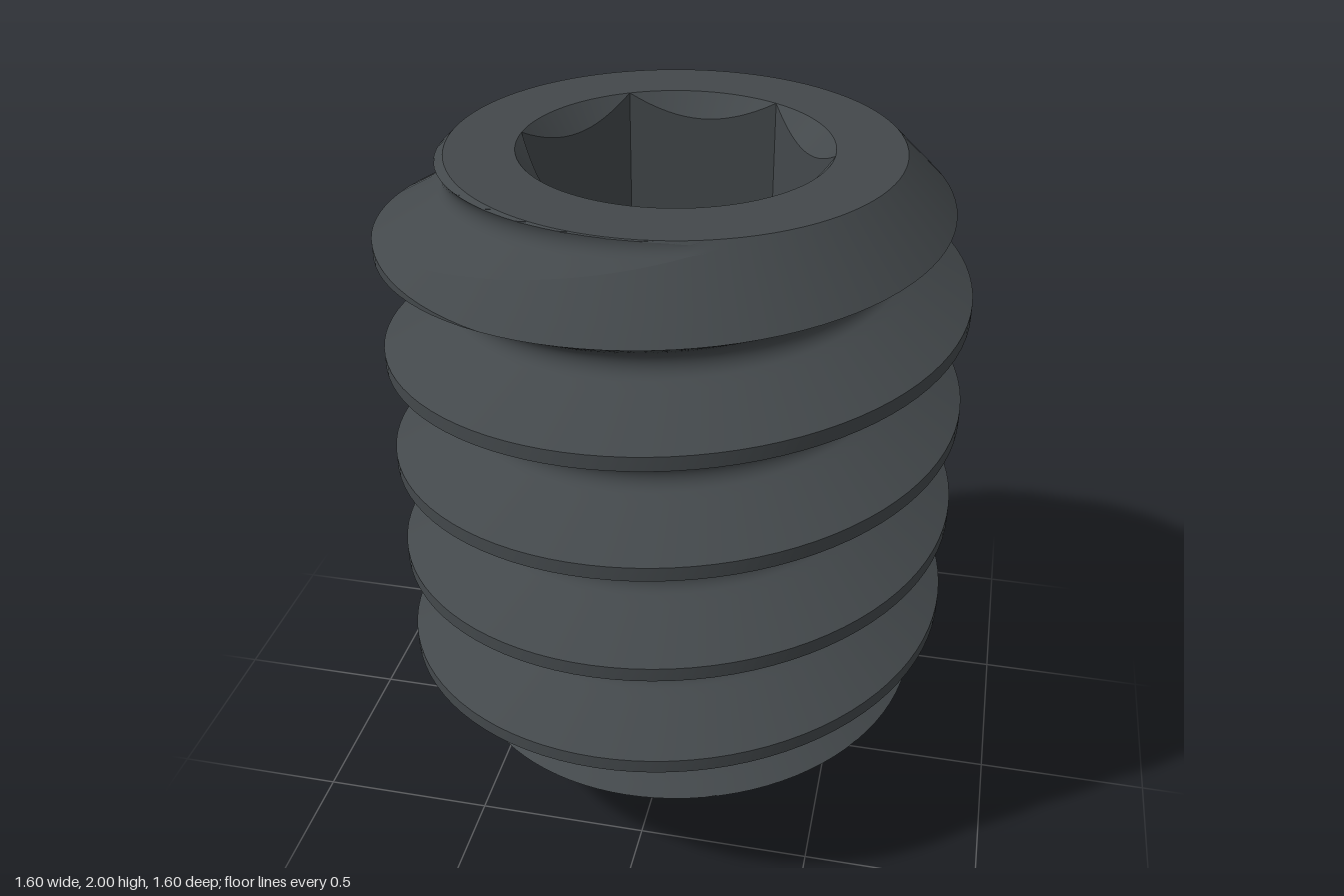
import * as THREE from 'three';
import { toCreasedNormals } from 'three/addons/utils/BufferGeometryUtils.js';

const COLUMNS = 96;
const HEIGHT = 2;
const PITCH = 0.32;
const CREST = 0.8;         // outer thread radius
const TOP_R = 0.6;         // flat top face radius
const TIP_R = 0.35;        // cup point radius
const FLAT = 0.36;         // hex socket, centre to flat
const CORNER = FLAT / Math.cos(Math.PI / 6);

// Surface from a profile of [radius, height] points that may vary with the angle.
// Profiles run so that the outside lies on their right.
function loft(name, profileAt, material) {
  const columns = [];
  for (let j = 0; j <= COLUMNS; j++) {
    const a = (j / COLUMNS) * Math.PI * 2;
    const c = j === COLUMNS ? 1 : Math.cos(a);
    const s = j === COLUMNS ? 0 : Math.sin(a);
    columns.push(profileAt(a).map(([r, y]) => new THREE.Vector3(r * c, y, -r * s)));
  }
  const points = [];
  const triangle = (p, q, r) => {
    const area = q.clone().sub(p).cross(r.clone().sub(p)).length();
    if (area > 1e-9) points.push(p, q, r);
  };
  for (let j = 0; j < COLUMNS; j++) {
    const A = columns[j], B = columns[j + 1];
    for (let i = 0; i < A.length - 1; i++) {
      triangle(A[i], B[i], B[i + 1]);
      triangle(A[i], B[i + 1], A[i + 1]);
    }
  }
  let geometry = new THREE.BufferGeometry().setFromPoints(points);
  // enlarged while finding creases, so that close vertices stay distinct
  geometry.scale(50, 50, 50);
  geometry = toCreasedNormals(geometry, 0.24);
  geometry.scale(0.02, 0.02, 0.02);
  const mesh = new THREE.Mesh(geometry, material);
  mesh.name = name;
  return mesh;
}

// One pitch of the 60 degree thread: flat crest, flank, rounded root, flank
function threadTooth() {
  const crestHalf = 0.02, rootR = 0.045, steps = 8, arcSteps = 12;
  const half = PITCH / 2;
  const apex = CREST - (half - crestHalf) * Math.sqrt(3);
  const centre = apex + 2 * rootR;
  const arc = [];
  for (let i = 0; i <= arcSteps; i++) {
    const t = (-60 + (120 * i) / arcSteps) * (Math.PI / 180);
    arc.push([centre - rootR * Math.cos(t), half + rootR * Math.sin(t)]);
  }
  const flank = (from, to) => Array.from({ length: steps - 1 }, (_, i) => {
    const t = (i + 1) / steps;
    return [from[0] + (to[0] - from[0]) * t, from[1] + (to[1] - from[1]) * t];
  });
  const start = [CREST, crestHalf], end = [CREST, PITCH - crestHalf];
  return [[CREST, -crestHalf], start, ...flank(start, arc[0]), ...arc, ...flank(arc[arcSteps], end)];
}

export function createModel() {
  const group = new THREE.Group();
  group.name = 'setScrew';
  const material = new THREE.MeshStandardMaterial({ color: 0x43484b });

  // Threaded body, cut by a 45 degree chamfer at each end
  const tooth = threadTooth();
  const cone = (y) => Math.min(TIP_R + y, TOP_R + HEIGHT - y);
  const over = (p) => p[0] - cone(p[1]);
  const threadProfile = (a) => {
    const raw = [];
    for (let k = -3; k <= 4; k++) {
      const base = 0.64 + PITCH * (k + a / (Math.PI * 2));
      for (const [r, d] of tooth) raw.push([r, base + d]);
    }
    return raw.map((p, i) => {
      if (over(p) <= 0) return p;
      // first point outside the chamfer moves to the exact crossing
      const inside = [raw[i - 1], raw[i + 1]].find((q) => q && over(q) < 0);
      if (inside) {
        const t = over(inside) / (over(inside) - over(p));
        return [inside[0] + (p[0] - inside[0]) * t, inside[1] + (p[1] - inside[1]) * t];
      }
      const y = THREE.MathUtils.clamp(p[1], 0, HEIGHT);
      return [cone(y), y];
    });
  };
  group.add(loft('threadedBody', threadProfile, material));

  // Conical hollow in the tip
  group.add(loft('cupPoint', () => [[0, 0.2], [TIP_R, 0]], material));

  // Flat ring around the socket
  group.add(loft('topFace', () => [[TOP_R, HEIGHT], [CORNER, HEIGHT]], material));

  // Hexagonal socket with a countersunk mouth, corners on the x axis
  const floorY = 1.35;
  group.add(loft('hexSocket', (a) => {
    const sixth = Math.PI / 3;
    const r = FLAT / Math.cos(((a + 1e-9) % sixth) - sixth / 2);
    const rim = HEIGHT - 0.06 * (CORNER - r) / (CORNER - FLAT);
    return [[CORNER, HEIGHT], [r, rim], [r, floorY], [0, floorY]];
  }, material));

  return group;
}
